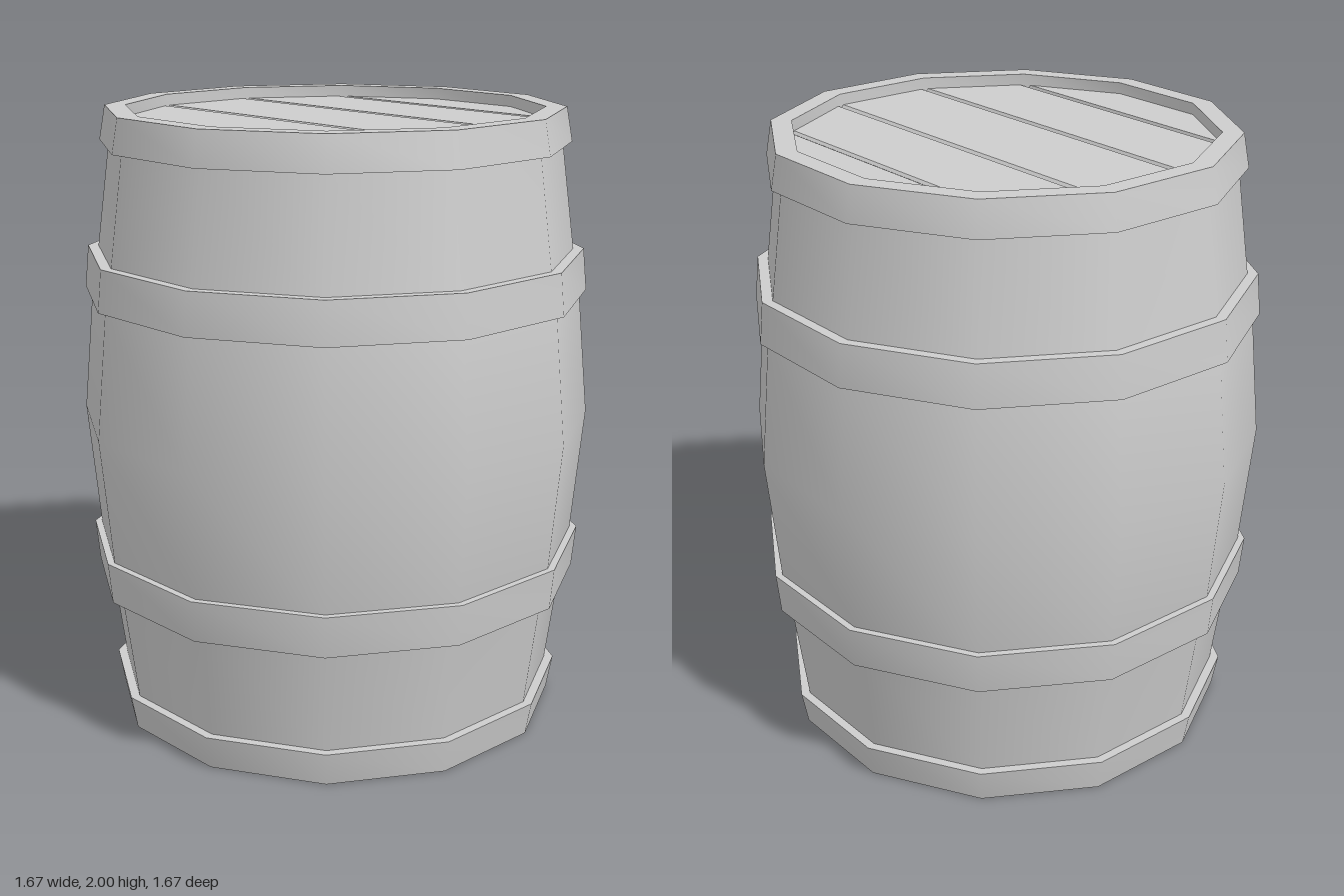
import * as THREE from 'three';
import { toCreasedNormals } from 'three/addons/utils/BufferGeometryUtils.js';

const SIDES = 12;
const wood = new THREE.MeshStandardMaterial({ color: 0xcccccc });
wood.name = 'plain grey';

// Twelve-sided turned part: round faces stay smooth, profile corners stay sharp
function turned(name, profile) {
  const points = profile.map(([r, y]) => new THREE.Vector2(r, y));
  const mesh = new THREE.Mesh(toCreasedNormals(new THREE.LatheGeometry(points, SIDES), 0.6), wood);
  mesh.name = name;
  return mesh;
}

// Hoop with a slanted outer face
function hoop(name, y0, y1, inner0, inner1, outer0, outer1) {
  return turned(name, [[inner0, y0], [outer0, y0], [outer1, y1], [inner1, y1]]);
}

// Lid boards, each spanning between opposite corners of the twelve-sided opening
function lidPlanks() {
  const group = new THREE.Group();
  group.name = 'lidPlanks';
  const radius = 0.67, gap = 0.004, bevel = 0.008, over = 0.015;
  const angles = [-75, -45, -15, 15, 45, 75].map(THREE.MathUtils.degToRad);
  for (let i = 0; i < 5; i++) {
    const [a, b] = [angles[i], angles[i + 1]];
    const low = radius * Math.sin(a) + (i === 0 ? -over : gap + bevel);
    const high = radius * Math.sin(b) - (i === 4 ? -over : gap + bevel);
    const lowX = radius * Math.cos(a) + over, highX = radius * Math.cos(b) + over;
    const outline = new THREE.Shape([
      new THREE.Vector2(-lowX, low), new THREE.Vector2(lowX, low),
      new THREE.Vector2(highX, high), new THREE.Vector2(-highX, high),
    ]);
    const geometry = new THREE.ExtrudeGeometry(outline, {
      depth: 0.012, bevelEnabled: true, bevelSize: bevel, bevelThickness: bevel, bevelSegments: 1,
    });
    geometry.rotateX(-Math.PI / 2);
    const plank = new THREE.Mesh(geometry, wood);
    plank.name = 'lidPlank' + (i + 1);
    plank.position.y = 1.943;
    group.add(plank);
  }
  group.rotation.y = -Math.PI / 12;
  return group;
}

export function createModel() {
  const barrel = new THREE.Group();
  barrel.name = 'barrel';

  // Bulging body with flat base and recessed top
  barrel.add(turned('staves', [
    [0, 0], [0.71, 0], [0.727, 0.11], [0.773, 0.455], [0.797, 0.59], [0.835, 1],
    [0.797, 1.41], [0.773, 1.545], [0.727, 1.89], [0.71, 2],
    [0.67, 2], [0.67, 1.945], [0, 1.945],
  ]));

  // Hoops, mirrored about mid height
  barrel.add(
    hoop('bottomHoop', 0, 0.11, 0.71, 0.727, 0.737, 0.757),
    hoop('lowerHoop', 0.455, 0.59, 0.773, 0.797, 0.807, 0.82),
    hoop('upperHoop', 1.41, 1.545, 0.797, 0.773, 0.82, 0.807),
    hoop('topHoop', 1.89, 2, 0.727, 0.71, 0.757, 0.737),
  );

  barrel.add(lidPlanks());
  return barrel;
}
